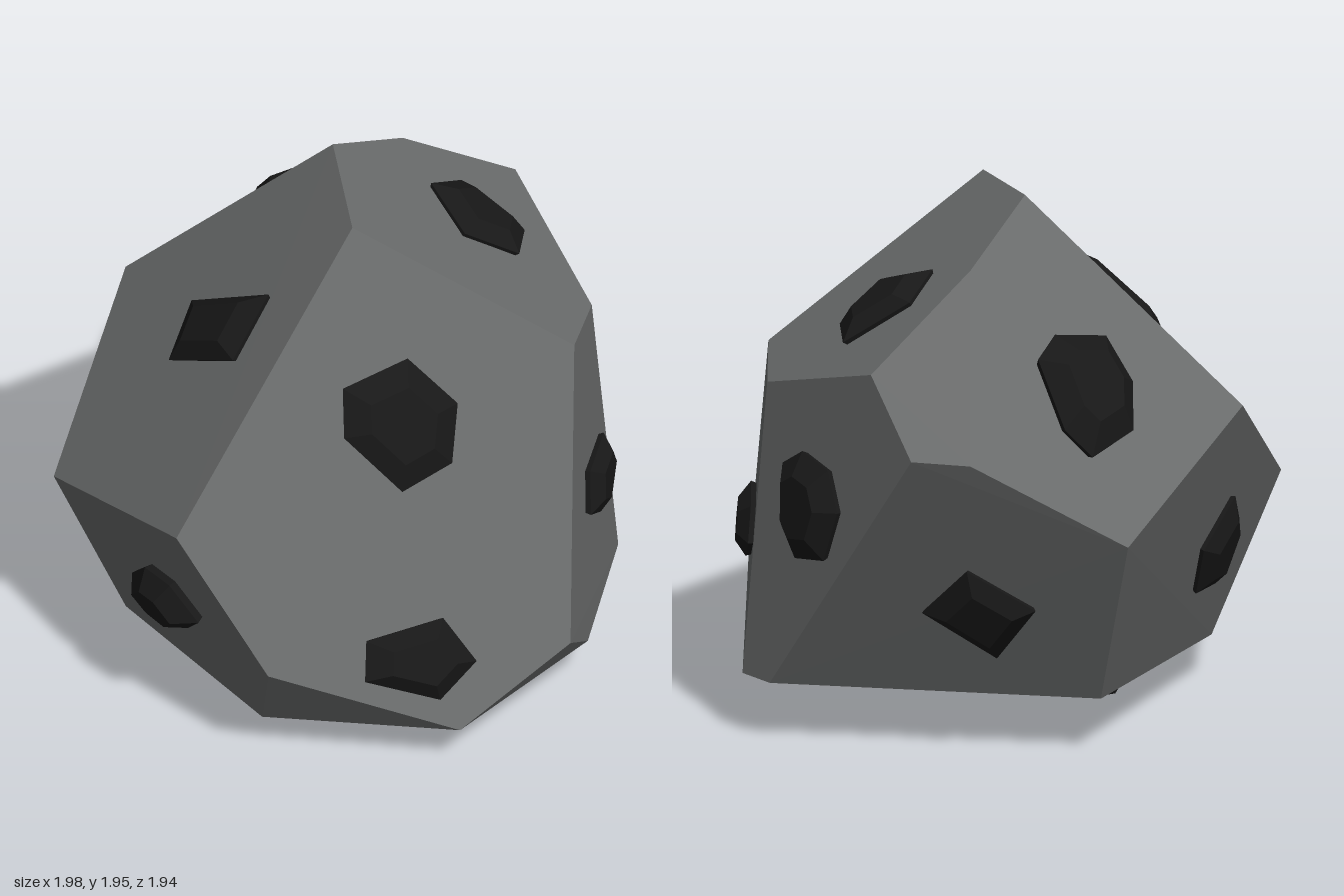
import * as THREE from 'three';
import { ConvexGeometry } from 'three/addons/geometries/ConvexGeometry.js';

const V = (x, y, z) => new THREE.Vector3(x, y, z);

// Corners of the faceted boulder
const P = {
  peakFront: V(-0.11, 1.915, 0.2), peakBack: V(0.09, 1.96, -0.19), leftTip: V(-1, 1.04, 0.365),
  shoulderA: V(0.56, 1.35, 0.61), shoulderB: V(0.79, 1.3, 0.4), shoulderC: V(0.895, 1.49, -0.2),
  rightTip: V(0.97, 1.245, -0.465), rightBack: V(0.84, 1.235, -0.63), ridge: V(0.45, 1.785, -0.265),
  backTip: V(0.39, 0.9, -0.97), backUpper: V(-0.34, 1.22, -0.84), backLeft: V(-0.91, 0.76, -0.49),
  frontLow: V(0.28, 0.38, 0.97), frontFoot: V(-0.18, 0.18, 0.938), leftLow: V(-0.8, 0.51, 0.64),
  footLeft: V(-0.68, 0.16, 0.44), footFrontRight: V(0.48, 0.2, 0.8), footRight: V(0.88, 0.23, 0.435),
  footRightB: V(0.905, 0.235, 0.28), footBack: V(0.2, 0.22, -0.66), footBackLeft: V(-0.69, 0.17, -0.36),
};

// Three corners that define each face carrying a dark chunk
const faces = {
  front: ['peakFront', 'leftTip', 'shoulderA'],
  frontRight: ['shoulderA', 'shoulderB', 'footRight'],
  topRight: ['peakFront', 'shoulderA', 'shoulderC'],
  right: ['shoulderB', 'rightTip', 'footRightB'],
  backRight: ['rightTip', 'footRightB', 'backTip'],
  backTop: ['peakBack', 'backTip', 'backUpper'],
  leftTop: ['peakFront', 'leftTip', 'backUpper'],
  left: ['backLeft', 'leftTip', 'leftLow'],
  back: ['backUpper', 'backTip', 'backLeft'],
  bottom: ['frontFoot', 'footRight', 'footBackLeft'],
};

// Sets an irregular polygon onto a face and raises a smaller copy of it.
// s, t: centre along the two named axes; rs, rt: radii; turn in degrees.
function chunkGeometry(face, axes, s, t, rs, rt, sides, turn, height = 0.06) {
  const [a, b, c] = faces[face].map((k) => P[k]);
  const n = b.clone().sub(a).cross(c.clone().sub(a)).normalize();
  if (n.dot(a.clone().sub(V(0, 0.9, 0))) < 0) n.negate();
  const [u, v] = axes;
  const w = 'xyz'.replace(u, '').replace(v, '');
  const onFace = (pu, pv) => {
    const p = V(0, 0, 0);
    p[u] = pu;
    p[v] = pv;
    p[w] = (n.dot(a) - n[u] * pu - n[v] * pv) / n[w];
    return p;
  };
  const centre = onFace(s, t);
  const base = Array.from({ length: sides }, (_, i) => {
    const wobble = Math.sin(i * 2.4 + turn);
    const angle = THREE.MathUtils.degToRad(turn + (i * 360) / sides + 9 * wobble);
    const r = 1.02 + 0.06 * wobble;
    return onFace(s + rs * r * Math.cos(angle), t + rt * r * Math.sin(angle));
  });
  const ring = (scale, lift) => base.map((p) => p.clone().lerp(centre, 1 - scale).addScaledVector(n, lift));
  return new ConvexGeometry([...ring(0.85, -0.05), ...ring(1, height * 0.3), ...ring(0.58, height)]);
}

export function createModel() {
  const group = new THREE.Group();
  const stone = new THREE.MeshStandardMaterial({ color: 0x6a6c6c, flatShading: true });
  const dark = new THREE.MeshStandardMaterial({ color: 0x181818, flatShading: true });

  const boulder = new THREE.Mesh(new ConvexGeometry(Object.values(P)), stone);
  boulder.name = 'boulder';
  group.add(boulder);

  // Dark ore chunks set into the faces
  const addChunk = (face, ...shape) => {
    const mesh = new THREE.Mesh(chunkGeometry(face, ...shape), dark);
    mesh.name = face + 'OreChunk';
    group.add(mesh);
  };
  addChunk('front', 'xy', -0.12, 1.24, 0.22, 0.22, 6, 10);
  addChunk('front', 'xy', -0.27, 0.45, 0.22, 0.14, 5, -15, 0.08);
  addChunk('frontRight', 'xy', 0.67, 0.71, 0.13, 0.14, 5, 55);
  addChunk('topRight', 'xz', 0.53, 0.07, 0.16, 0.17, 5, -70);
  addChunk('right', 'zy', 0.09, 0.93, 0.18, 0.2, 7, 180, 0.08);
  addChunk('backRight', 'zy', -0.45, 0.59, 0.17, 0.18, 4, 0);
  addChunk('backTop', 'xz', 0.25, -0.63, 0.19, 0.15, 7, 40, 0.1);
  addChunk('leftTop', 'xz', -0.44, -0.14, 0.13, 0.24, 4, 120);
  addChunk('left', 'zy', 0.11, 0.58, 0.19, 0.12, 6, 0, 0.1);
  addChunk('back', 'xy', -0.46, 0.61, 0.14, 0.19, 5, 90);
  addChunk('bottom', 'xz', 0.1, 0.57, 0.23, 0.18, 6, 20, 0.13);
  addChunk('bottom', 'xz', -0.31, -0.14, 0.16, 0.17, 6, 20, 0.175);
  return group;
}
